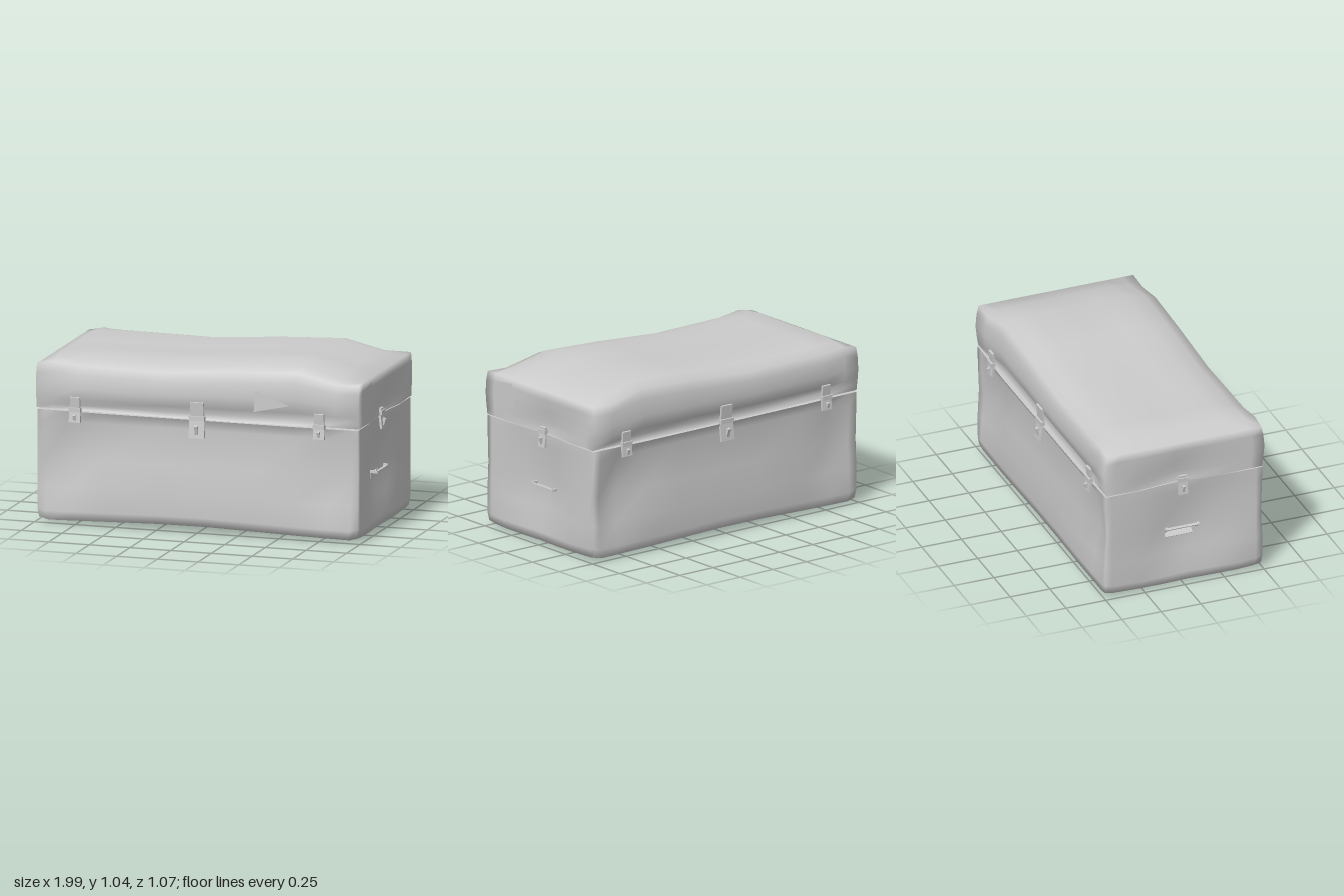
import * as THREE from 'three';
import { mergeVertices } from 'three/addons/utils/BufferGeometryUtils.js';

const material = new THREE.MeshStandardMaterial({ color: 0xcccccc, side: THREE.DoubleSide });
const { lerp, smoothstep, clamp } = THREE.MathUtils;

// piecewise linear curve through [position, value] pairs
function curve(points, t) {
  for (let i = 1; i < points.length; i++) {
    const [a, va] = points[i - 1], [b, vb] = points[i];
    if (t <= b) return lerp(va, vb, clamp((t - a) / (b - a), 0, 1));
  }
  return points[points.length - 1][1];
}

// low-poly box with grid lines at the given stops, every vertex moved by a rule;
// smooth all over except the flat cap at the seam (box face 2 = top, 3 = bottom)
function shapedBox(name, xs, hs, zs, seamFace, rule) {
  let g = new THREE.BoxGeometry(xs.length - 1, hs.length - 1, zs.length - 1, xs.length - 1, hs.length - 1, zs.length - 1);
  g.deleteAttribute('normal');
  g.deleteAttribute('uv');
  g = mergeVertices(g);
  const p = g.attributes.position, v = new THREE.Vector3();
  const stop = (list, t) => list[Math.round(t + (list.length - 1) / 2)];
  for (let i = 0; i < p.count; i++) {
    v.set(stop(xs, p.getX(i)), stop(hs, p.getY(i)), stop(zs, p.getZ(i)));
    rule(v);
    p.setXYZ(i, v.x, v.y, v.z);
  }
  const index = Array.from(g.index.array), seam = g.groups[seamFace];
  const capIndex = index.splice(seam.start, seam.count);
  const group = new THREE.Group();
  group.name = name;
  for (const [part, list] of [['Shell', index], ['Seam', capIndex]]) {
    const piece = new THREE.BufferGeometry();
    piece.setAttribute('position', p.clone());
    piece.setIndex(list);
    piece.computeVertexNormals();
    const mesh = new THREE.Mesh(piece, material);
    mesh.name = name + part;
    group.add(mesh);
  }
  return group;
}

// 1 in the middle of an axis, fading to 0 between the two limits
const middle = (t, inner, outer) => 1 - smoothstep(Math.abs(t), inner, outer);

// 1 at the centre of an elliptical dent, 0 outside it
const pit = (a, b) => Math.max(0, 1 - Math.hypot(a, b));

// lower box: dented panels, an overhanging rim and a warped underside
function bodyRule(v) {
  const { x: u, y: h, z: w } = v;
  const bottom = curve([[-1, 0.015], [-0.95, 0], [-0.75, 0.005], [-0.3, 0.02], [0.05, 0.022], [0.75, 0.003], [0.95, 0], [1, 0.015]], u)
    + 0.018 * smoothstep(Math.abs(w), 0.85, 1) + 0.04 * middle(u, 0.2, 0.9) * middle(w, 0.1, 0.9);
  const y = lerp(bottom, 0.675, h);
  v.set(u * 0.985, y, w * 0.495);
  const { x, z } = v;
  if (Math.abs(w) === 1) {
    const belly = curve([[0, 0.004], [0.15, 0.016], [0.35, 0.004], [0.58, -0.025], [0.62, -0.02], [0.675, 0.012]], y);
    const dent = pit((Math.abs(x) - 0.8) / 0.22, (y - 0.38) / 0.28);
    v.z += w * (belly * middle(u, 0.65, 0.93) - 0.05 * dent);
  }
  if (Math.abs(u) === 1) {
    const dent = pit((z - 0.04) / 0.36, (y - 0.36) / 0.38);
    const groove = middle(z, 0.05, 0.22) * smoothstep(y, 0.3, 0.5);
    v.x -= u * Math.max(0.07 * dent, 0.025 * groove);
  }
  // tapered lower corners
  const low = 1 - smoothstep(y, 0, 0.07);
  v.x *= 1 - 0.02 * low;
  v.z *= 1 - 0.015 * low;
}

// lid: sagging padded top with bulging long sides tucked in at the seam
function lidRule(v) {
  const { x: u, y: h, z: w } = v;
  const x = u * 0.99;
  const crown = curve([[-0.99, 0.945], [-0.9, 0.99], [-0.75, 1], [-0.2, 0.995], [0.25, 1.028], [0.62, 1.045], [0.99, 0.945]], x);
  const edge = curve([[0, 0.01], [0.6, 0], [0.85, 0.025], [1, 0.055]], Math.abs(w));
  const top = crown - edge * middle(u, 0.8, 1);
  const bottom = 0.684 - 0.008 * Math.max(middle(u, 0.5, 0.9), middle(w, 0.3, 0.8));
  const long = curve([[0, 0.485], [0.1, 0.462], [0.25, 0.492], [0.45, 0.51], [0.7, 0.505], [1, 0.477]], h);
  const corner = curve([[0, 0.49], [0.45, 0.508], [0.8, 0.5], [1, 0.487]], h);
  v.set(x, lerp(bottom, top, h), w * lerp(corner, long, middle(u, 0.65, 0.88)));
  if (Math.abs(u) === 1) {
    const dent = pit((v.z + 0.05) / 0.24, (v.y - 0.72) / 0.18);
    v.x -= u * 0.045 * dent;
  }
}

function box(name, w, h, d, x, y, z, tilt = 0) {
  const mesh = new THREE.Mesh(new THREE.BoxGeometry(w, h, d), material);
  mesh.name = name;
  mesh.position.set(x, y, z);
  mesh.rotation.x = tilt;
  return mesh;
}

// clasp facing +z, centred on the seam
function latch(width, up, down) {
  const g = new THREE.Group();
  g.name = 'latch';
  g.add(
    box('latchKeeper', width * 0.85, up, 0.014, 0, up / 2, 0.003, 0.1),
    box('latchPlate', width, down, 0.014, 0, -down / 2, 0.008, -0.12),
    box('latchHinge', width, 0.026, 0.026, 0, 0.005, 0.006),
    box('latchTab', width * 0.2, down * 0.45, 0.018, 0, -down * 0.55, 0.02, 0.3)
  );
  return g;
}

// drop handle facing +z: two arms, a grip and a back plate
function handle() {
  const g = new THREE.Group();
  g.name = 'sideHandle';
  g.add(box('handleGrip', 0.2, 0.014, 0.016, 0, 0, 0.035));
  for (const side of [-1, 1]) {
    g.add(box('handleArm', 0.014, 0.016, 0.07, side * 0.1, 0.004, 0.005));
  }
  g.add(box('handlePlate', 0.17, 0.035, 0.008, -0.02, -0.02, 0));
  return g;
}

// thin torn flap: a flat fan through a few corners
function flap(name, ...corners) {
  const g = new THREE.BufferGeometry().setFromPoints(corners.map(c => new THREE.Vector3(...c)));
  g.setIndex(corners.slice(2).flatMap((_, i) => [0, i + 1, i + 2]));
  g.computeVertexNormals();
  const mesh = new THREE.Mesh(g, material);
  mesh.name = name;
  return mesh;
}

export function createModel() {
  const model = new THREE.Group();
  model.name = 'chest';
  model.add(
    shapedBox('body', [-1, -0.95, -0.8, -0.6, -0.25, 0.05, 0.35, 0.6, 0.81, 0.95, 1], [0, 0.08, 0.3, 0.56, 0.9, 1],
      [-1, -0.92, -0.55, -0.25, 0.08, 0.35, 0.7, 0.92, 1], 2, bodyRule),
    shapedBox('lid', [-1, -0.9, -0.74, -0.2, 0.25, 0.62, 0.86, 1], [0, 0.1, 0.25, 0.5, 0.8, 1],
      [-1, -0.85, -0.6, -0.1, 0.3, 0.6, 0.85, 1], 3, lidRule)
  );

  // long sides carry three latches, short sides one latch and a handle
  for (const face of [0, 1]) {
    const longSide = new THREE.Group();
    longSide.name = face ? 'backFittings' : 'frontFittings';
    longSide.rotation.y = face * Math.PI;
    for (const x of [-0.75, 0, 0.75]) {
      const l = x ? latch(0.07, 0.08, 0.07) : latch(0.095, 0.1, 0.115);
      l.position.set(x, 0.682, 0.499);
      longSide.add(l);
    }
    const shortSide = new THREE.Group();
    shortSide.name = face ? 'rightFittings' : 'leftFittings';
    shortSide.rotation.y = face ? -Math.PI / 2 : Math.PI / 2;
    const l = latch(0.06, 0.03, 0.09), grip = handle();
    l.position.set(0, 0.682, 0.962);
    grip.position.set(0, 0.345, 0.935);
    grip.rotation.x = face * -0.7;
    shortSide.add(l, grip);
    model.add(longSide, shortSide);
  }

  // torn flaps on the lid
  model.add(
    flap('frontLidFlap', [0.35, 0.75, 0.513], [0.57, 0.8, 0.516], [0.36, 0.88, 0.513]),
    flap('leftLidFlap', [0.994, 0.75, 0.41], [0.994, 0.78, 0.23], [0.994, 0.92, 0.26], [0.994, 0.9, 0.43])
  );
  return model;
}
